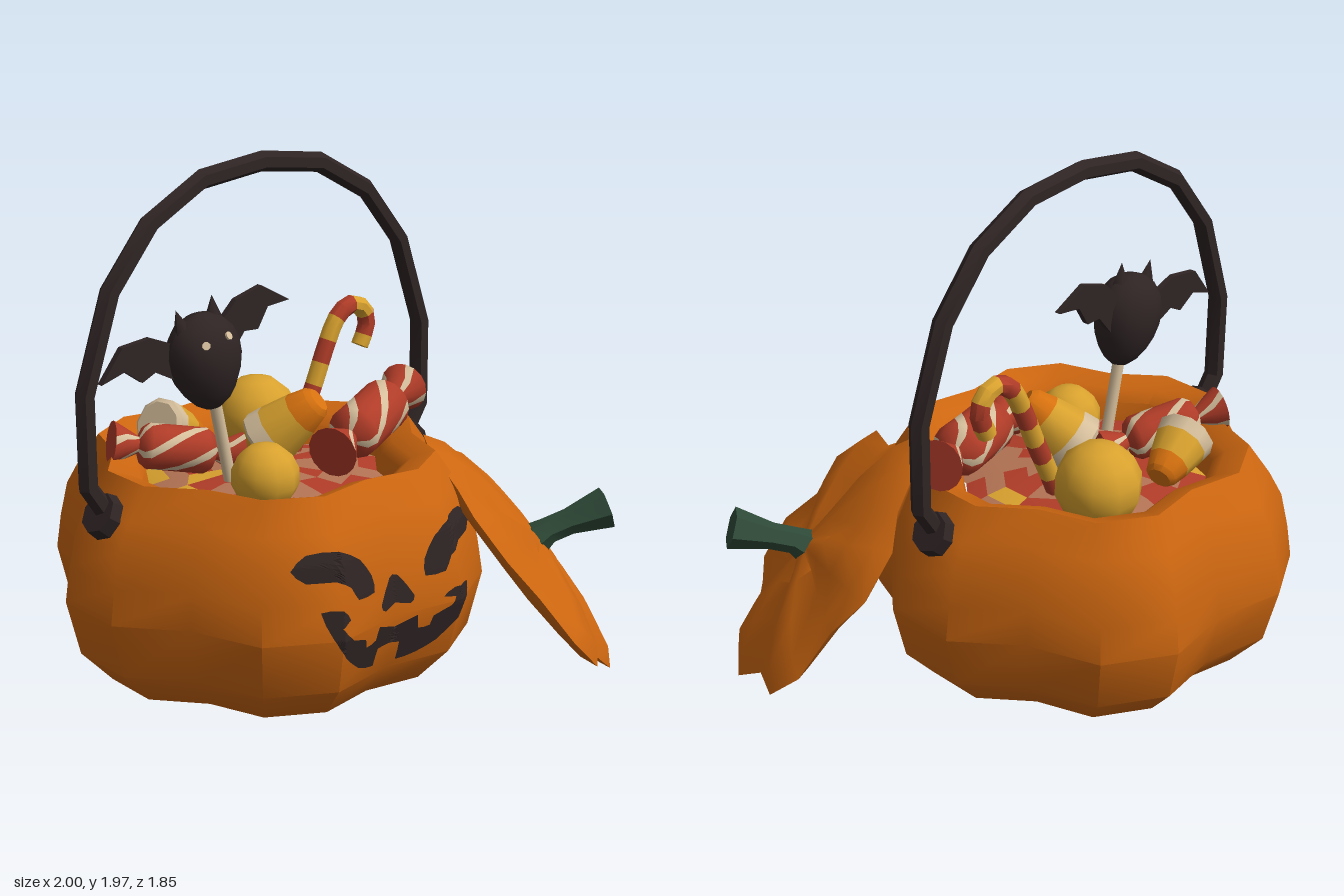
import * as THREE from 'three';
import { toCreasedNormals } from 'three/addons/utils/BufferGeometryUtils.js';

const V = (x, y, z) => new THREE.Vector3(x, y, z);
const mat = (name, color) => {
  const m = new THREE.MeshStandardMaterial({ color });
  m.name = name;
  return m;
};

// Skin a stack of closed loops; pick(j, i) chooses the material of each quad
function skin(rings, materialCount = 1, pick = () => 0) {
  const n = rings[0].length, lists = Array.from({ length: materialCount }, () => []);
  for (let j = 0; j < rings.length - 1; j++) for (let i = 0; i < n; i++) {
    const a = j * n + i, b = j * n + (i + 1) % n, c = b + n, d = a + n;
    lists[pick(j, i)].push(a, d, b, b, d, c);
  }
  const g = new THREE.BufferGeometry().setFromPoints(rings.flat());
  g.setIndex(lists.flat());
  let start = 0;
  if (materialCount > 1) lists.forEach((l, k) => { g.addGroup(start, l.length, k); start += l.length; });
  g.computeVertexNormals();
  return g;
}

// Six-lobed loop: two crest points and one valley point per lobe
function lobedRing(r, y, valley = 0.88, valleyDrop = 0) {
  const out = [];
  for (let k = 0; k < 6; k++) [-10, 10, 30].forEach((d, i) => {
    const t = THREE.MathUtils.degToRad(k * 60 + d), s = i === 2 ? r * valley : r;
    out.push(V(Math.cos(t) * s, y - (i === 2 ? valleyDrop : 0), Math.sin(t) * s));
  });
  return out;
}

// Loops along a path, closed with a point at both ends
function sweepRings(points, radii, sides, ref, twist = () => 0) {
  const rings = points.map((p, j) => {
    const T = points[Math.min(j + 1, points.length - 1)].clone().sub(points[Math.max(j - 1, 0)]).normalize();
    const U = ref.clone().addScaledVector(T, -ref.dot(T)).normalize();
    const W = U.clone().cross(T);
    return Array.from({ length: sides }, (_, i) => {
      const t = (i + 0.5) / sides * Math.PI * 2 + twist(j);
      return p.clone().addScaledVector(U, Math.cos(t) * radii[j]).addScaledVector(W, Math.sin(t) * radii[j]);
    });
  });
  const cap = p => Array.from({ length: sides }, () => p.clone());
  return [cap(points[0]), ...rings, cap(points[points.length - 1])];
}

export function createModel() {
  const root = new THREE.Group();
  root.name = 'pumpkinCandyBucket';
  const orange = mat('pumpkinOrange', 0xcc6610), dark = mat('charcoal', 0x2f2424);
  const green = mat('stemGreen', 0x2f4a38), red = mat('candyRed', 0xb03c28);
  const cream = mat('cream', 0xd6bf9c), yellow = mat('candyYellow', 0xd9a22e);
  const tan = mat('fillTan', 0xb37354), cornOrange = mat('candyOrange', 0xd8720f);
  const add = (name, geo, material, parent = root) => {
    const m = new THREE.Mesh(geo, material);
    m.name = name;
    parent.add(m);
    return m;
  };
  const CX = -0.19, CZ = -0.17;

  // Pumpkin bowl: outer wall, rim, inner wall
  const bowl = [[0, 0.07], [0.2, 0.06], [0.39, 0.04], [0.64, 0.13], [0.76, 0.26], [0.81, 0.47], [0.79, 0.6],
    [0.76, 0.73], [0.71, 0.82], [0.63, 0.93], [0.545, 0.9], [0.5, 0.86], [0.47, 0.7]];
  const bowlGeo = skin(bowl.map(([r, y]) => lobedRing(r, y)));
  bowlGeo.translate(CX, 0, CZ);
  const body = add('pumpkinBowl', toCreasedNormals(bowlGeo, 0.75), orange);

  // Loose candy bed inside the bowl
  const bed = [[0.48, 0.79], [0.4, 0.81], [0.32, 0.82], [0.22, 0.83], [0.12, 0.84], [0, 0.84]];
  const bedGeo = skin(bed.map(([r, y]) => lobedRing(r, y)), 3, (j, i) => [0, 1, 0, 1, 1, 2, 0][(i * 3 + j * 5 + (i * j) % 4) % 7]);
  bedGeo.translate(CX, 0, CZ);
  add('candyBed', bedGeo, [tan, red, yellow]);

  // Face: flat outlines, subdivided and laid onto the bowl
  body.updateMatrixWorld(true);
  const ray = new THREE.Raycaster();
  const paint = (name, pts) => {
    const curve = new THREE.CatmullRomCurve3(pts.map(([x, y]) => V(x, y, 0)), true, 'catmullrom', 0.3);
    const flat = new THREE.ShapeGeometry(new THREE.Shape(curve.getPoints(pts.length * 2).slice(0, -1)
      .map(p => new THREE.Vector2(p.x, p.y)))).toNonIndexed();
    const at = flat.attributes.position;
    let tris = [];
    for (let i = 0; i < at.count; i += 3) tris.push([0, 1, 2].map(k => V().fromBufferAttribute(at, i + k)));
    for (let s = 0; s < 3; s++) tris = tris.flatMap(([a, b, c]) => {
      const ab = a.clone().lerp(b, 0.5), bc = b.clone().lerp(c, 0.5), ca = c.clone().lerp(a, 0.5);
      return [[a, ab, ca], [ab, b, bc], [ca, bc, c], [ab, bc, ca]];
    });
    const placed = tris.flat().map(p => {
      ray.set(V(p.x, p.y, 5), V(0, 0, -1));
      const hit = ray.intersectObject(body)[0];
      return V(p.x, p.y, (hit ? hit.point.z : 0.5) + 0.007);
    });
    const g = new THREE.BufferGeometry().setFromPoints(placed);
    g.computeVertexNormals();
    add(name, g, dark);
  };
  const eye = [[-0.6, 0.72], [-0.54, 0.765], [-0.44, 0.77], [-0.35, 0.72], [-0.3, 0.65], [-0.295, 0.59],
    [-0.38, 0.59], [-0.41, 0.64], [-0.47, 0.675], [-0.56, 0.675]];
  paint('rightEye', eye);
  paint('leftEye', eye.map(([x, y]) => [2 * CX + 0.025 - x, y]));
  paint('nose', [[-0.21, 0.615], [-0.17, 0.615], [-0.11, 0.53], [-0.13, 0.505], [-0.19, 0.52], [-0.245, 0.505], [-0.265, 0.53]]);
  paint('mouth', [[-0.53, 0.575], [-0.46, 0.575], [-0.43, 0.535], [-0.47, 0.515], [-0.42, 0.46], [-0.35, 0.435],
    [-0.34, 0.4], [-0.29, 0.41], [-0.28, 0.46], [-0.19, 0.43], [-0.1, 0.455], [-0.09, 0.4], [-0.04, 0.4],
    [-0.03, 0.435], [0.04, 0.46], [0.06, 0.49], [0.01, 0.5], [0.06, 0.525], [0.145, 0.52], [0.13, 0.46],
    [0.08, 0.4], [0, 0.33], [-0.08, 0.3], [-0.165, 0.29], [-0.16, 0.36], [-0.27, 0.37], [-0.285, 0.305],
    [-0.37, 0.33], [-0.45, 0.4], [-0.5, 0.48]]);

  // Lid leaning on the bowl
  const lidRows = [[0, 0.04, 0], [0.3, 0.02, 0.02], [0.5, -0.03, 0.01], [0.572, 0, 0], [0.5, 0.045, 0.02],
    [0.34, 0.08, 0.03], [0.17, 0.095, 0.025], [0.06, 0.1, 0], [0, 0.1, 0]];
  const lidGeo = skin(lidRows.map(([r, y, drop]) => lobedRing(r, y, 0.85, drop)));
  const lidUp = V(0.636, 0.623, 0.458).normalize();
  const lidX = V(0.158, 0.203, -0.495).addScaledVector(lidUp, -V(0.158, 0.203, -0.495).dot(lidUp)).normalize();
  lidGeo.applyMatrix4(new THREE.Matrix4().makeBasis(lidX, lidUp, lidX.clone().cross(lidUp)).setPosition(0.56, 0.475, 0.41));
  add('lid', toCreasedNormals(lidGeo, 0.9), orange);
  const stemPath = [V(0.59, 0.51, 0.44), V(0.65, 0.56, 0.48), V(0.72, 0.59, 0.52), V(0.84, 0.64, 0.6)];
  add('lidStem', toCreasedNormals(skin(sweepRings(stemPath, [0.075, 0.05, 0.05, 0.08], 6, V(0, 1, 0))), 0.6), green);

  // Carrying handle and its two pivots
  const half = [[0.69, 0.8], [0.775, 0.93], [0.775, 1.26], [0.66, 1.6], [0.49, 1.81], [0.265, 1.935]];
  const arch = [...half, [0, 1.968], ...half.map(([x, y]) => [-x, y]).reverse()].map(([x, y]) => V(CX + x, y, CZ));
  add('handle', toCreasedNormals(skin(sweepRings(arch, arch.map(() => 0.037), 6, V(0, 0, 1))), 0.4), dark);
  for (const s of [-1, 1]) {
    const k = add(s < 0 ? 'rightPivot' : 'leftPivot', toCreasedNormals(new THREE.CylinderGeometry(0.075, 0.088, 0.08, 8), 0.5), dark);
    k.position.set(CX + s * 0.71, 0.81, CZ);
    k.rotation.z = -s * 0.95;
  }

  // Round candies
  for (const [x, y, z, r] of [[-0.35, 0.885, 0.03, 0.125], [0.005, 0.925, -0.46, 0.16]])
    add('roundCandy', new THREE.SphereGeometry(r, 10, 7), yellow).position.set(x, y, z);

  // Wrapped candies with spiral stripes and flared ends
  const wrapped = (from, to, r) => {
    const rows = [[0, 0.95], [0.09, 0.7], [0.2, 0.38], [0.23, 0.8], [0.28, 1], [0.39, 1], [0.5, 1],
      [0.61, 1], [0.72, 1], [0.77, 0.8], [0.8, 0.38], [0.91, 0.7], [1, 0.95]];
    const rings = sweepRings(rows.map(([t]) => from.clone().lerp(to, t)), rows.map(q => q[1] * r), 16, V(0, 1, 0),
      j => rows[j][0] * 4);
    // caps follow the twist only at the rim
    add('wrappedCandy', toCreasedNormals(skin(rings, 2, (j, i) => (j > 0 && j < rows.length && i % 4 === 0 ? 1 : 0)), 0.9), [red, cream]);
  };
  wrapped(V(-0.12, 0.95, 0.13), V(0.45, 1.03, -0.11), 0.1);
  wrapped(V(-0.69, 0.97, -0.43), V(-0.25, 0.88, -0.24), 0.085);

  // Candy corn: cream base, yellow middle, orange tip
  const corn = (base, tip, r) => {
    const rows = [[0, 0.85], [0.06, 1], [0.28, 0.92], [0.68, 0.72], [0.93, 0.55], [1, 0.4]];
    const rings = sweepRings(rows.map(([t]) => base.clone().lerp(tip, t)), rows.map(q => q[1] * r), 10, V(0, 1, 0));
    add('candyCorn', toCreasedNormals(skin(rings, 3, j => (j < 3 ? 0 : j < 4 ? 1 : 2)), 0.7), [cream, yellow, cornOrange]);
  };
  corn(V(-0.45, 0.97, -0.48), V(-0.24, 0.88, -0.53), 0.11);
  corn(V(-0.17, 0.91, -0.21), V(-0.035, 1.09, -0.045), 0.12);

  // Candy cane with alternating bands
  const cane = new THREE.CatmullRomCurve3([[0, 0.78], [0.06, 0.92], [0.13, 1.07], [0.19, 1.21], [0.245, 1.31],
    [0.31, 1.35], [0.375, 1.325], [0.395, 1.26], [0.36, 1.18]].map(([x, y]) => V(x, y, -0.265)));
  const canePts = cane.getSpacedPoints(20);
  add('candyCane', toCreasedNormals(skin(sweepRings(canePts, canePts.map(() => 0.036), 8, V(0, 0, 1)), 2,
    j => Math.floor(j / 2) % 2), 0.8), [yellow, red]);

  // Bat lollipop
  const bat = new THREE.Group();
  bat.name = 'batLollipop';
  bat.position.set(-0.485, 1.3, -0.13);
  bat.rotation.z = 0.2;
  root.add(bat);
  const egg = new THREE.SphereGeometry(1, 14, 10), ep = egg.attributes.position;
  for (let i = 0; i < ep.count; i++) {
    const y = ep.getY(i), w = 1 + 0.18 * y;
    ep.setXYZ(i, ep.getX(i) * 0.142 * w, y * 0.18, ep.getZ(i) * 0.112 * w);
  }
  egg.computeVertexNormals();
  add('batBody', egg, dark, bat);
  const wing = new THREE.Shape([[0.1, 0.1], [0.19, 0.16], [0.31, 0.17], [0.42, 0.075], [0.32, 0.085],
    [0.26, 0.02], [0.2, 0.035], [0.12, -0.03]].map(([x, y]) => new THREE.Vector2(x, y)));
  for (const s of [-1, 1]) {
    const w = add(s < 0 ? 'batRightWing' : 'batLeftWing',
      new THREE.ExtrudeGeometry(wing, { depth: 0.025, bevelEnabled: false }), dark, bat);
    w.position.z = s < 0 ? -0.015 : -0.04;
    w.rotation.y = s < 0 ? Math.PI : 0;
    const ear = add('batEar', new THREE.ConeGeometry(0.042, 0.11, 5), dark, bat);
    ear.position.set(s * 0.073, 0.17, 0);
    ear.rotation.z = -s * 0.12;
    const e = add('batEye', new THREE.CylinderGeometry(0.015, 0.015, 0.008, 8), cream, bat);
    e.position.set(s * 0.05, 0.1, 0.099);
    e.rotation.set(1.1, 0, -s * 0.35);
  }
  const stick = [V(-0.45, 1.18, -0.135), V(-0.37, 0.8, -0.14)];
  add('batStick', skin(sweepRings(stick, [0.023, 0.023], 8, V(0, 0, 1))), cream);
  return root;
}
